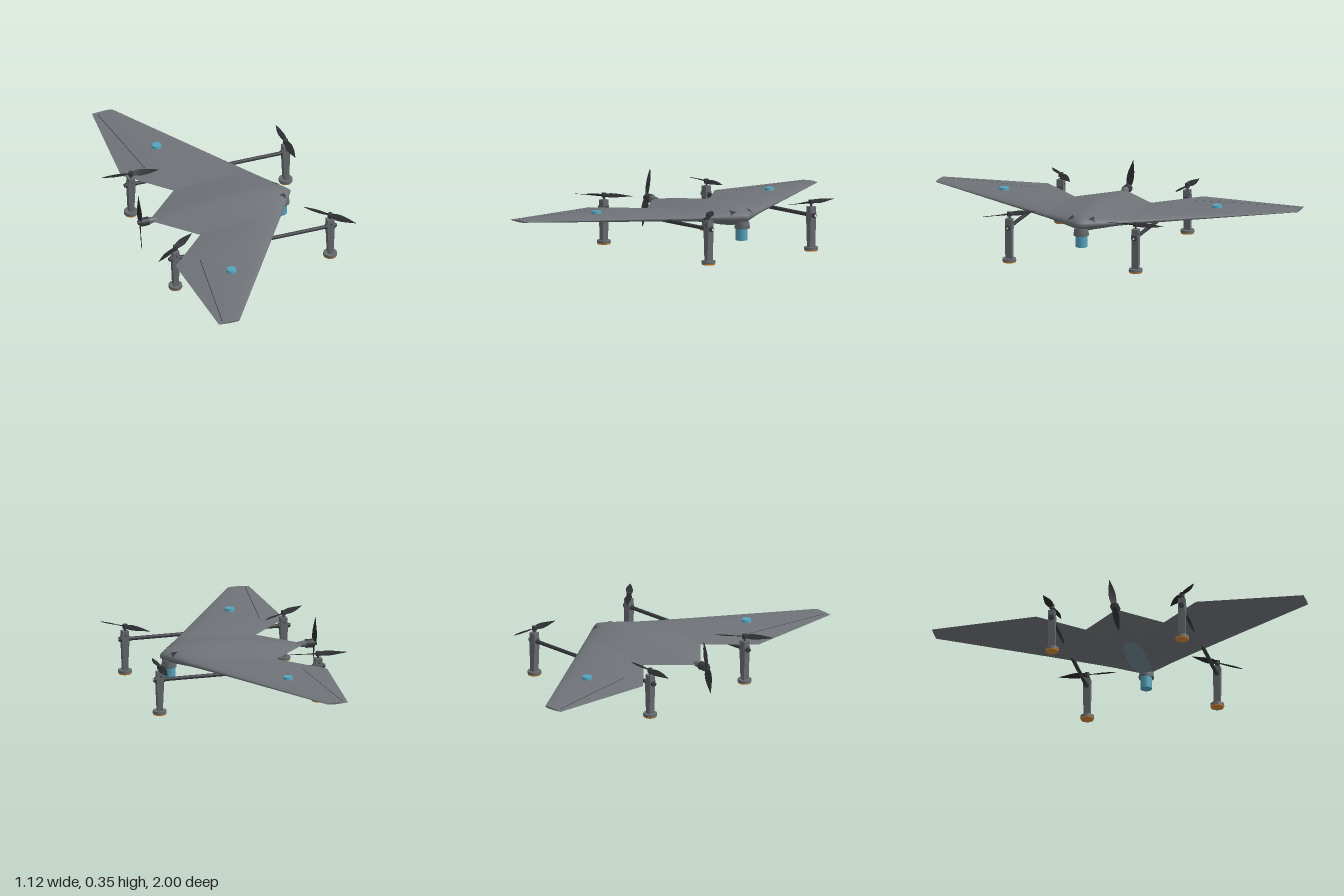
import * as THREE from 'three';

const mat = (name, color) => {
  const m = new THREE.MeshStandardMaterial({ color, side: THREE.DoubleSide });
  m.name = name;
  return m;
};

// Wing stations: span position, leading edge x, trailing edge x, half thickness
const STATIONS = [
  [0, 0.36, -0.43, 0.055], [0.03, 0.341, -0.4, 0.053], [0.08, 0.309, -0.35, 0.046],
  [0.15, 0.264, -0.28, 0.033], [0.21, 0.226, -0.22, 0.026], [0.43, 0.085, -0.435, 0.021],
  [1, -0.28, -0.395, 0.005],
];
const WING_Y = 0.2;
const airfoil = (t) => 10 * (0.2969 * Math.sqrt(t) - 0.126 * t - 0.3516 * t ** 2 + 0.2843 * t ** 3 - 0.1036 * t ** 4);

// Half thickness of the wing at any point
function halfThickness(x, z) {
  const s = Math.min(Math.abs(z), 0.9999);
  const i = STATIONS.findIndex((st) => st[0] > s);
  const a = STATIONS[i - 1], b = STATIONS[i];
  const k = (s - a[0]) / (b[0] - a[0]);
  const [, le, te, h] = a.map((v, j) => v + (b[j] - v) * k);
  return h * airfoil(THREE.MathUtils.clamp((le - x) / (le - te), 0, 1));
}

// Closed airfoil rings lofted along the span
function wingPanel(stations) {
  const N = 20, ring = 2 * N + 1, pos = [], idx = [];
  stations.forEach(([z, le, te, h], i) => {
    for (let j = 0; j < ring; j++) {
      const t = 0.5 + 0.5 * Math.cos((j / N) * Math.PI);
      pos.push(le + (te - le) * t, WING_Y + (j <= N ? 1 : -1) * h * airfoil(t), z);
      if (i < stations.length - 1 && j < ring - 1) {
        const a = i * ring + j, c = a + ring;
        idx.push(a, c, a + 1, a + 1, c, c + 1);
      }
    }
  });
  const g = new THREE.BufferGeometry();
  g.setAttribute('position', new THREE.Float32BufferAttribute(pos, 3));
  g.setIndex(idx);
  g.computeVertexNormals();
  return g;
}

// Thin skin that follows the wing; at(u, v) returns [x, z, offset]
function skin(at, side, nu = 16, nv = 4) {
  const g = new THREE.PlaneGeometry(1, 1, nu, nv);
  const p = g.attributes.position;
  for (let i = 0; i < p.count; i++) {
    const [x, z, off] = at(p.getX(i) + 0.5, p.getY(i) * 2);
    p.setXYZ(i, x, WING_Y + side * (halfThickness(x, z) + off), z);
  }
  // keep the front of the skin pointing outwards
  if (side > 0) g.setIndex(Array.from(g.index.array).reverse());
  g.computeVertexNormals();
  return g;
}

// One twisted blade reaching out along +x
function bladeGeometry(length) {
  const g = new THREE.BoxGeometry(1, 0.004, 1, 12, 1, 1);
  const p = g.attributes.position;
  for (let i = 0; i < p.count; i++) {
    const s = p.getX(i) + 0.5;
    const w = 0.012 * (1 - s) + 0.03 * Math.sin(Math.PI * Math.pow(s, 0.75));
    const twist = 0.5 - 0.4 * s;
    const z = p.getZ(i) * w, y = p.getY(i) * (1 - 0.6 * s);
    p.setXYZ(i, s * length, y * Math.cos(twist) - z * Math.sin(twist), y * Math.sin(twist) + z * Math.cos(twist));
  }
  g.computeVertexNormals();
  return g;
}

export function createModel() {
  const root = new THREE.Group();
  root.name = 'flyingWingDrone';
  const grey = mat('wing grey', 0x6f7378);
  const pylonGrey = mat('pylon grey', 0x666a6e);
  const dark = mat('carbon dark', 0x393b3f);
  const black = mat('blade black', 0x2a2b2e);
  const blue = mat('sensor blue', 0x55a3bd);
  const belly = mat('hatch blue grey', 0x6c858e);
  const orange = mat('pad orange', 0xcb8838);
  const pale = mat('pale tip', 0xe8e8e8);

  const add = (parent, name, geo, material, x = 0, y = 0, z = 0) => {
    const m = new THREE.Mesh(geo, material);
    m.name = name;
    m.position.set(x, y, z);
    parent.add(m);
    return m;
  };
  const cyl = (r1, r2, h, n = 28) => new THREE.CylinderGeometry(r1, r2, h, n);
  const cylX = (r1, r2, h, n) => cyl(r1, r2, h, n).rotateZ(-Math.PI / 2);

  // Wing: centre body and two outer panels with closed tips
  const flip = (list) => list.map(([z, ...r]) => [-z, ...r]).reverse();
  const inner = STATIONS.slice(0, 5);
  const outer = STATIONS.slice(4);
  const tip = [[1, -0.28, -0.395, 0.005], [1, -0.28, -0.395, 0]];
  add(root, 'centreBody', wingPanel([...flip(inner.slice(1)), ...inner]), grey);
  for (const s of [1, -1]) {
    const side = s > 0 ? 'Left' : 'Right';
    const mirror = s > 0 ? flip : (l) => l;
    add(root, 'wing' + side, wingPanel(mirror(outer)), grey);
    add(root, 'wingTip' + side, wingPanel(mirror(tip)), grey);
  }

  for (const s of [1, -1]) {
    // Elevon hinge seam, wing sensor and nose vent
    add(root, 'hingeSeam', skin((u, v) => [-0.3 - 0.07 * u + 0.002 * v, s * (0.43 + 0.55 * u), 0.0008], 1, 16, 1), dark);
    add(root, 'wingSensor', cyl(0.024, 0.027, 0.016), blue, -0.18, 0.222, s * 0.59);
    add(root, 'noseVent', skin((u, v) => [0.275 + 0.035 * u, s * (0.058 + 0.018 * v * u), 0.002], 1, 6, 4), dark);
  }

  // Belly hatch with rounded ends
  add(root, 'bellyHatch', skin((u, v) => {
    const e = Math.pow(Math.max(0, 1 - Math.abs(2 * u - 1) ** 4), 0.5);
    return [0.28 - 0.39 * u, 0.055 * e * v, 0.006 * e * (1 - v ** 4) - 0.001];
  }, -1, 28, 10), belly);

  // Nose camera
  add(root, 'cameraMount', cyl(0.036, 0.04, 0.04), pylonGrey, 0.31, 0.158, 0);
  add(root, 'cameraCollar', cyl(0.04, 0.04, 0.012), pylonGrey, 0.31, 0.146, 0);
  add(root, 'cameraBarrel', cyl(0.031, 0.031, 0.068), blue, 0.305, 0.109, 0);

  // Two-bladed rotor spinning about its own y axis
  const makeRotor = (name) => {
    const g = new THREE.Group();
    g.name = name;
    add(g, 'hub', cyl(0.013, 0.013, 0.022, 20), dark);
    for (const a of [0, Math.PI]) add(g, 'blade', bladeGeometry(0.155), black).rotation.y = a;
    root.add(g);
    return g;
  };

  // Tapered lift pylon column
  const column = new THREE.BoxGeometry(1, 0.19, 0.036);
  const cp = column.attributes.position;
  for (let i = 0; i < cp.count; i++) cp.setX(i, cp.getX(i) * (cp.getY(i) > 0 ? 0.042 : 0.025));
  column.computeVertexNormals();

  // Booms, each with a front and a rear lift pylon
  const spin = { '1,1': -0.83, '1,-1': Math.PI / 2, '-1,1': 0.63, '-1,-1': -0.1 };
  for (const s of [1, -1]) {
    const z = s * 0.35;
    add(root, 'boom', cylX(0.01, 0.01, 0.935, 20), dark, 0.0225, 0.19, z);
    add(root, 'boomTip', cylX(0.006, 0.006, 0.002, 16), pale, 0.4905, 0.19, z);
    for (const [f, x] of [[1, 0.455], [-1, -0.408]]) {
      const p = new THREE.Group();
      p.name = f > 0 ? 'frontPylon' : 'rearPylon';
      p.position.set(x, 0, z);
      root.add(p);
      add(p, 'column', column, pylonGrey, 0, 0.112, 0);
      add(p, 'motorHousing', new THREE.BoxGeometry(0.036, 0.032, 0.036), pylonGrey, 0, 0.22, 0);
      add(p, 'boomClamp', cylX(0.014, 0.014, 0.056, 20), dark, 0, 0.19, 0);
      add(p, 'motorShaft', cyl(0.005, 0.005, 0.03, 12), dark, 0, 0.245, 0);
      add(p, 'foot', cyl(0.036, 0.037, 0.013), pylonGrey, 0, 0.0145, 0);
      add(p, 'footPad', cyl(0.036, 0.034, 0.008), orange, 0, 0.004, 0);
      for (const k of [1, -1]) {
        add(p, 'screw', cyl(0.004, 0.004, 0.003, 12).rotateX(Math.PI / 2), dark, 0, 0.212, k * 0.0185);
      }
      const r = makeRotor('liftRotor');
      r.position.set(x, 0.26, z);
      r.rotation.y = spin[[f, s]];
    }
  }

  // Tail motor and pusher propeller
  add(root, 'tailMotor', cylX(0.023, 0.023, 0.042), dark, -0.455, 0.2, 0);
  add(root, 'tailMount', cylX(0.012, 0.02, 0.05), pylonGrey, -0.415, 0.2, 0);
  const pusher = makeRotor('pusherPropeller');
  pusher.position.set(-0.481, 0.2, 0);
  pusher.rotation.set(-0.17, 0, Math.PI / 2);

  return root;
}
